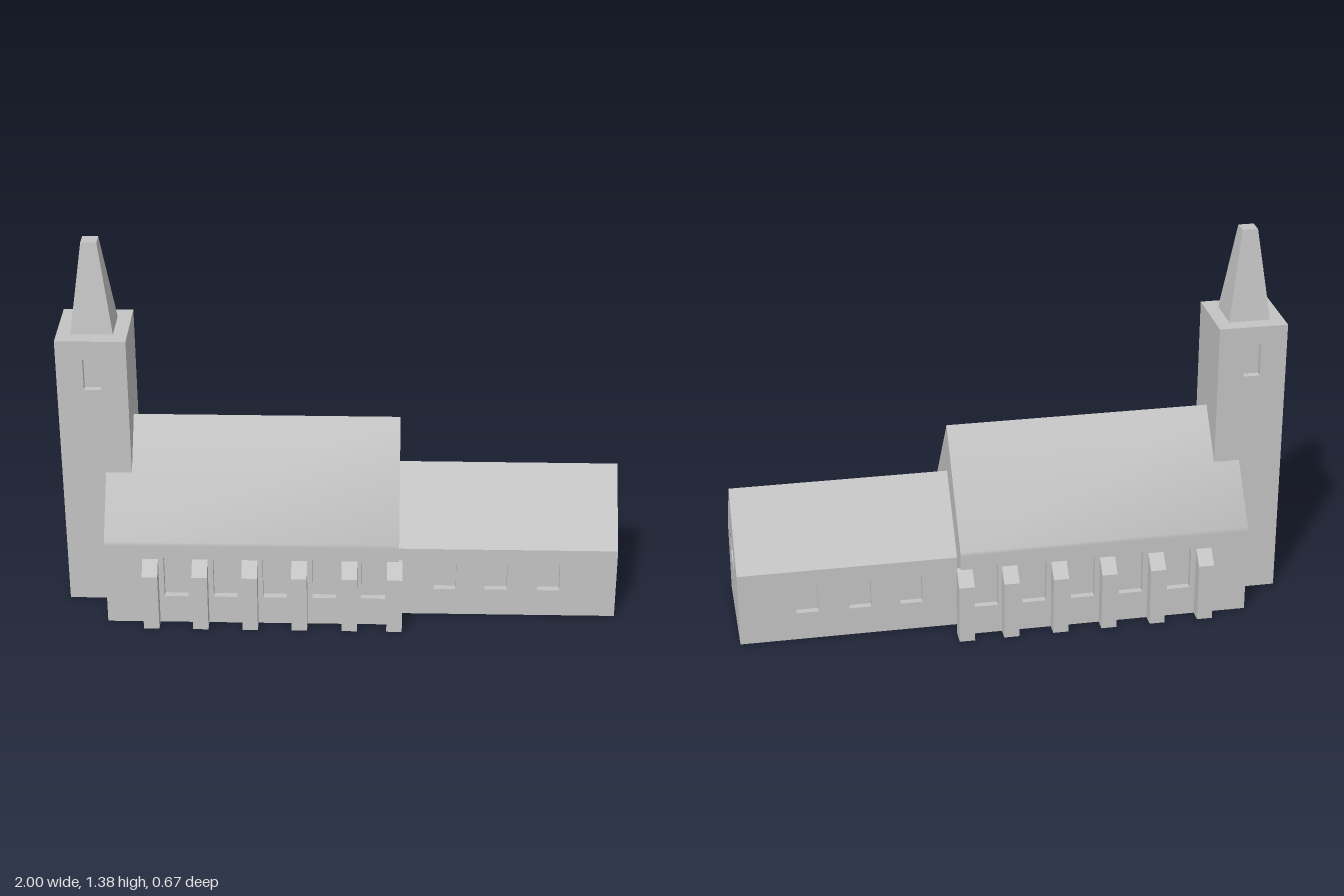
import * as THREE from 'three';
import { toCreasedNormals } from 'three/addons/utils/BufferGeometryUtils.js';

const stone = new THREE.MeshStandardMaterial({ color: 0xc4c4c4 });
stone.name = 'stone';
const RECESS = 0.025; // depth of window openings

function makeShape(points, holes = []) {
  const toV = ([a, b]) => new THREE.Vector2(a, b);
  const shape = new THREE.Shape(points.map(toV));
  for (const h of holes) shape.holes.push(new THREE.Path(h.map(toV)));
  return shape;
}

// Extrude an (x, y) outline between two z positions
function extrudeZ(points, holes, z0, z1) {
  return new THREE.ExtrudeGeometry(makeShape(points, holes), { depth: z1 - z0, bevelEnabled: false })
    .translate(0, 0, z0);
}

// Extrude a (z, y) outline between two x positions
function extrudeX(points, holes, x0, x1) {
  return new THREE.ExtrudeGeometry(makeShape(points, holes), { depth: x1 - x0, bevelEnabled: false })
    .rotateY(-Math.PI / 2).translate(x1, 0, 0);
}

const rect = (a0, a1, b0, b1) => [[a0, b0], [a1, b0], [a1, b1], [a0, b1]];

// Pointed window opening
const lancet = (c, width, sill, spring, apex) => [
  [c - width / 2, sill], [c + width / 2, sill], [c + width / 2, spring], [c, apex], [c - width / 2, spring],
];

// Mirror a half profile (z > 0, from bottom to ridge) into a closed outline
const mirrored = (half) => [...half, ...half.filter(p => p[0] > 0).reverse().map(([z, y]) => [-z, y])];

function add(parent, name, geometry) {
  const mesh = new THREE.Mesh(geometry, stone);
  mesh.name = name;
  parent.add(mesh);
  return mesh;
}

// Gabled hall: roofed core with a thin pierced wall along each side
function hall(name, x0, x1, halfWidth, eave, ridge, windows) {
  const group = new THREE.Group();
  group.name = name;
  const inner = halfWidth - RECESS, wallTop = eave - 0.015;
  const core = mirrored([
    [inner, 0], [inner, wallTop], [halfWidth, wallTop], [halfWidth, eave], [0, ridge],
  ]);
  // the shallow eave bend of the nave stays soft, steeper edges stay sharp
  add(group, name + 'RoofAndCore', toCreasedNormals(extrudeX(core, [], x0, x1), 0.68));
  const wall = rect(x0, x1, 0, wallTop);
  add(group, name + 'FrontWall', extrudeZ(wall, windows, inner, halfWidth));
  add(group, name + 'BackWall', extrudeZ(wall, windows, -halfWidth, -inner));
  return group;
}

export function createModel() {
  const church = new THREE.Group();
  church.name = 'church';

  // Nave
  const naveWindows = [-0.59, -0.412, -0.234, -0.056, 0.12].map(x => lancet(x, 0.086, 0.11, 0.268, 0.313));
  church.add(hall('nave', -0.843, 0.212, 0.287, 0.335, 0.702, naveWindows));

  // Chancel with a pierced end gable
  const chancelWindows = [0.38, 0.565, 0.755].map(x => lancet(x, 0.08, 0.107, 0.213, 0.25));
  const chancel = hall('chancel', 0.2, 1 - RECESS, 0.211, 0.276, 0.52, chancelWindows);
  const octagon = mirrored([[0.036, 0.211], [0.057, 0.24], [0.057, 0.296], [0.036, 0.325]]);
  const gable = mirrored([[0.211, 0], [0.211, 0.276], [0, 0.52]]);
  add(chancel, 'endGable', extrudeX(gable, [octagon], 1 - RECESS, 1));
  church.add(chancel);

  // Buttresses with sloping caps, on both sides
  const buttresses = new THREE.Group();
  buttresses.name = 'buttresses';
  const profile = [[0.27, 0], [0.335, 0], [0.335, 0.218], [0.285, 0.268], [0.275, 0.268]];
  for (const x of [-0.68, -0.502, -0.323, -0.145, 0.035, 0.197]) {
    for (const side of [1, -1]) {
      const outline = profile.map(([z, y]) => [z * side, y]);
      add(buttresses, 'buttress', extrudeX(outline, [], x - 0.028, x + 0.028));
    }
  }
  church.add(buttresses);

  // Tower: solid core with pierced slabs on three faces
  const tower = new THREE.Group();
  tower.name = 'tower';
  const half = 0.132, top = 1.055, west = -1, east = -0.75, cx = -0.875;
  const inner = half - RECESS;
  const belfry = c => lancet(c, 0.06, 0.865, 0.982, 1.015);
  add(tower, 'towerCore', extrudeZ(rect(west + RECESS, east, 0, top), [], -inner, inner));
  const sideWall = rect(west + RECESS, east, 0, top);
  add(tower, 'towerFrontWall', extrudeZ(sideWall, [belfry(cx)], inner, half));
  add(tower, 'towerBackWall', extrudeZ(sideWall, [belfry(cx)], -half, -inner));
  const westOpenings = [
    belfry(0), lancet(0, 0.072, 0.23, 0.455, 0.495), lancet(0, 0.08, 0.025, 0.155, 0.195),
  ];
  add(tower, 'towerWestWall', extrudeX(rect(-half, half, 0, top), westOpenings, west, west + RECESS));

  // Blunt four-sided spire
  const spire = new THREE.CylinderGeometry(0.028 * Math.SQRT2, 0.075 * Math.SQRT2, 0.33, 4)
    .rotateY(Math.PI / 4).toNonIndexed();
  spire.computeVertexNormals();
  add(tower, 'spire', spire).position.set(cx, top + 0.165, 0);
  church.add(tower);

  return church;
}
